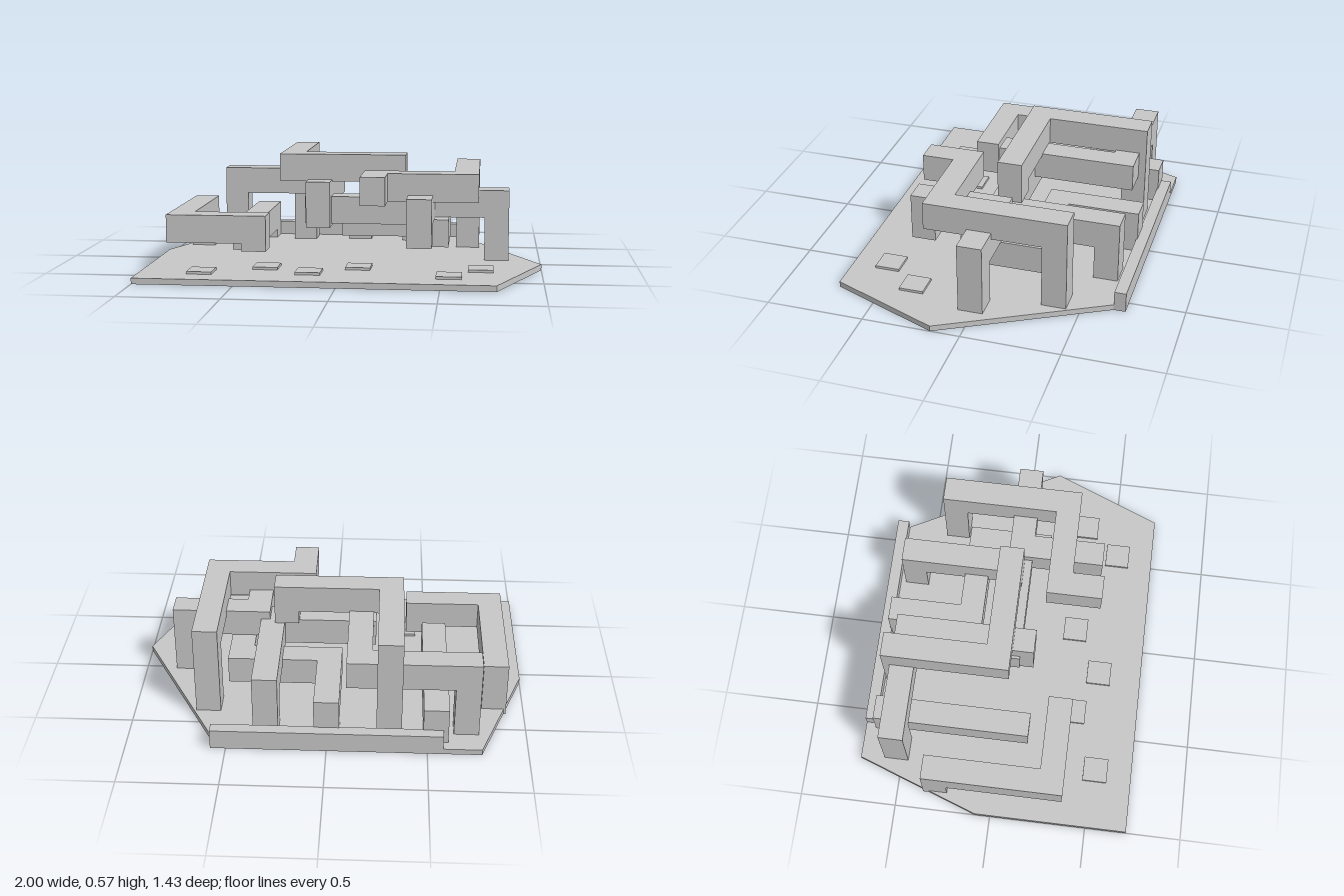
import * as THREE from 'three';

// The plate, posts and wall are shells open at the bottom, so both sides show
const stone = new THREE.MeshStandardMaterial({ color: 0xc8c8c8, side: THREE.DoubleSide });
stone.name = 'pale grey';

const PLATE = 0.03; // plate height
const HALF = 0.063; // half the width of a beam
const DEPTH = 0.143; // height of a beam

// Joins boxes [x0, x1, y0, y1, z0, z1] into one outer skin with no underside at the lowest level
function skin(name, boxes) {
  const cuts = [0, 1, 2].map((a) => [...new Set(boxes.flatMap((b) => [b[2 * a], b[2 * a + 1]]))].sort((p, q) => p - q));
  const filled = (cell) => boxes.some((b) => cell.every((i, a) => i >= 0 && i < cuts[a].length - 1
    && cuts[a][i] >= b[2 * a] && cuts[a][i + 1] <= b[2 * a + 1]));
  const pos = [];
  const addFace = (cell, axis, side) => {
    const u = (axis + 1) % 3, v = (axis + 2) % 3;
    const corner = (du, dv) => {
      const p = [];
      p[axis] = cuts[axis][cell[axis] + side];
      p[u] = cuts[u][cell[u] + du];
      p[v] = cuts[v][cell[v] + dv];
      return p;
    };
    const [a, b, c, d] = [corner(0, 0), corner(1, 0), corner(1, 1), corner(0, 1)];
    pos.push(...(side ? [a, b, c, a, c, d] : [a, c, b, a, d, c]).flat());
  };
  for (let i = 0; i < cuts[0].length - 1; i++) {
    for (let j = 0; j < cuts[1].length - 1; j++) {
      for (let k = 0; k < cuts[2].length - 1; k++) {
        const cell = [i, j, k];
        if (!filled(cell)) continue;
        for (let axis = 0; axis < 3; axis++) {
          for (const side of [0, 1]) {
            const next = [...cell];
            next[axis] += side ? 1 : -1;
            const open = axis === 1 && side === 0 && j === 0;
            if (!open && !filled(next)) addFace(cell, axis, side);
          }
        }
      }
    }
  }
  const geo = new THREE.BufferGeometry();
  geo.setAttribute('position', new THREE.Float32BufferAttribute(pos, 3));
  geo.computeVertexNormals();
  const mesh = new THREE.Mesh(geo, stone);
  mesh.name = name;
  return mesh;
}

// A square column, or a beam when two points are given
const bar = ([ax, az], [bx, bz], y0, y1) => [Math.min(ax, bx) - HALF, Math.max(ax, bx) + HALF, y0, y1,
  Math.min(az, bz) - HALF, Math.max(az, bz) + HALF];

// Each walkway: top height, height its end reaches down to, path as [x, z]
const walkways = [
  { name: 'leftWalkway', top: 0.29, drop: 0.107, path: [[-0.845, -0.301], [-0.845, 0.3], [-0.458, 0.3]] },
  { name: 'straightWalkway', top: 0.22, drop: 0.077, path: [[-0.541, -0.598], [-0.541, 0.09]] },
  { name: 'backWalkway', top: 0.438, drop: 0.198, path: [[-0.696, -0.527], [-0.157, -0.527], [-0.157, 0.073]] },
  { name: 'highWalkway', top: 0.572, drop: 0.357, path: [[-0.309, -0.564], [-0.309, -0.038], [0.231, -0.038]] },
  { name: 'hookWalkway', top: 0.506, drop: 0.363, path: [[0.615, -0.376], [0.615, 0.226], [0.155, 0.226], [0.155, 0.389]] },
  { name: 'rightWalkway', top: 0.397, drop: 0.151, path: [[0.77, 0.002], [0.385, 0.002], [0.385, 0.376]] },
  { name: 'middleWalkway', top: 0.354, drop: 0.211, path: [[0.307, -0.564], [0.307, 0.002], [-0.171, 0.002]] },
  { name: 'lowWalkway', top: 0.253, drop: 0.11, path: [[0.002, -0.598], [0.002, -0.226], [0.46, -0.226], [0.46, 0.087]] },
];

function walkway({ name, top, drop, path }) {
  const end = path[path.length - 1];
  const boxes = [bar(path[0], path[0], 0, top), bar(end, end, drop, top)];
  for (let i = 1; i < path.length; i++) boxes.push(bar(path[i - 1], path[i], top - DEPTH, top));
  return skin(name, boxes);
}

// Plate: a sheet with a rim reaching down to the ground
function basePlate() {
  const group = new THREE.Group();
  group.name = 'basePlate';
  const outline = [[-1, 0.714], [0.77, 0.714], [1, 0.15], [0.577, -0.655], [0.577, -0.715], [-0.77, -0.715], [-1, -0.08]];
  const sheet = new THREE.ShapeGeometry(new THREE.Shape(outline.map(([x, z]) => new THREE.Vector2(x, -z))));
  sheet.rotateX(-Math.PI / 2).translate(0, PLATE, 0);
  const top = new THREE.Mesh(sheet, stone);
  top.name = 'plateTop';
  group.add(top);
  outline.forEach(([ax, az], i) => {
    const [bx, bz] = outline[(i + 1) % outline.length];
    const rim = new THREE.Mesh(new THREE.PlaneGeometry(Math.hypot(bx - ax, bz - az), PLATE), stone);
    rim.position.set((ax + bx) / 2, PLATE / 2, (az + bz) / 2);
    rim.rotation.y = -Math.atan2(bz - az, bx - ax);
    rim.name = 'plateRim';
    group.add(rim);
  });
  return group;
}

export function createModel() {
  const model = new THREE.Group();
  model.name = 'walkwayMaze';
  model.add(basePlate());

  // Low wall along the back edge
  model.add(skin('backWall', [[-0.578, 0.577, 0, 0.104, -0.715, -0.655]]));

  for (const w of walkways) model.add(walkway(w));

  // Low square tiles in front
  const tiles = [[-0.692, 0.524], [-0.157, 0.489], [0.538, 0.524], [-0.386, 0.376], [0.078, 0.338], [0.692, 0.338]];
  for (const t of tiles) model.add(skin('floorTile', [bar(t, t, PLATE, 0.043)]));
  return model;
}
